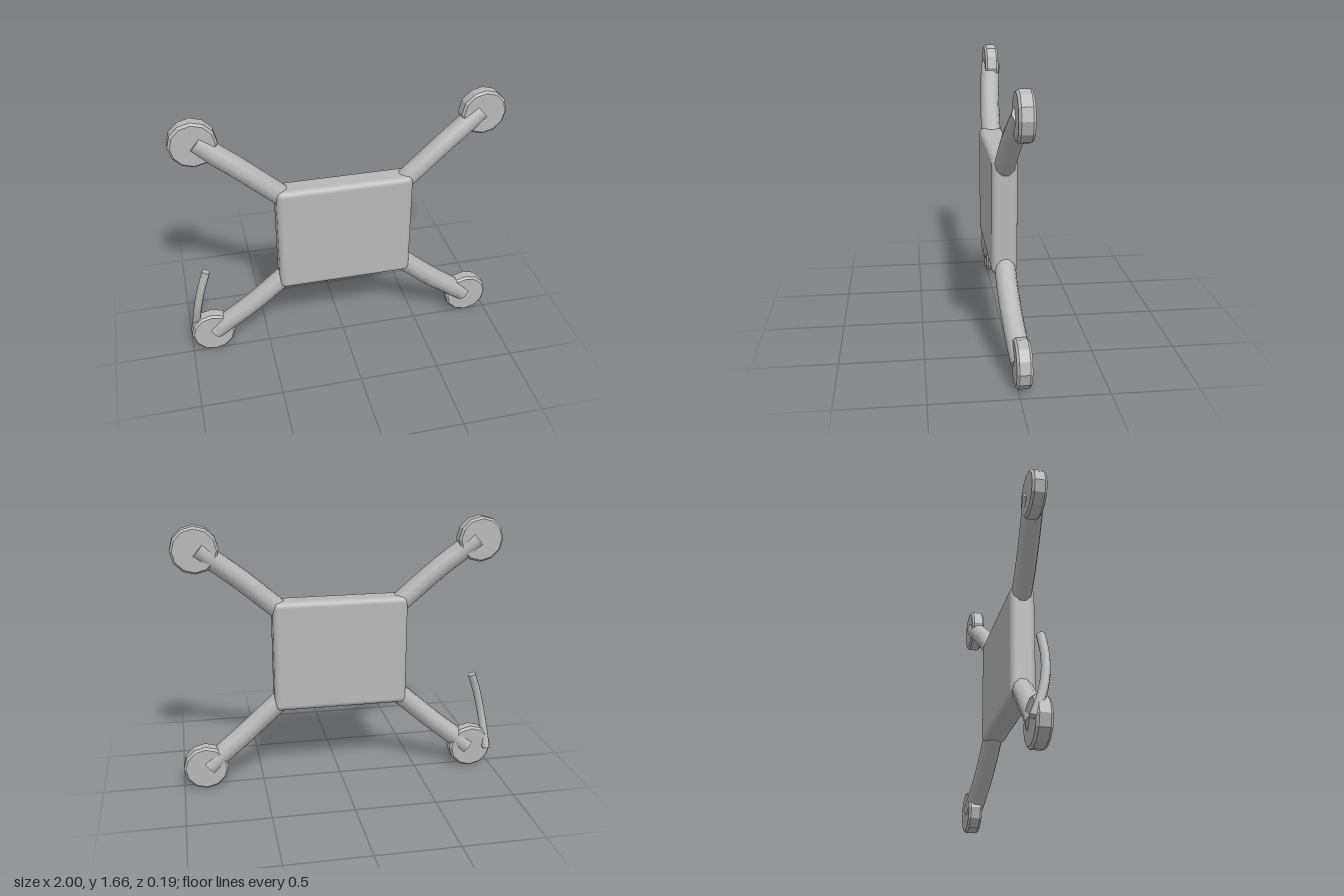
import * as THREE from 'three';
import { RoundedBoxGeometry } from 'three/addons/geometries/RoundedBoxGeometry.js';

const grey = new THREE.MeshStandardMaterial({ color: 0xb8b8b8, side: THREE.DoubleSide });
const flatGrey = grey.clone();
flatGrey.flatShading = true;

// Flat end cap, fanned over one ring of a tube
function capGeometry(tube, ring, sides) {
  const p = tube.attributes.position;
  const points = [];
  for (let i = 0; i < sides; i++) {
    points.push(new THREE.Vector3().fromBufferAttribute(p, ring * (sides + 1) + i));
  }
  const corners = [];
  for (let i = 1; i < sides - 1; i++) {
    const tri = [points[0], points[i], points[i + 1]];
    if (ring === 0) tri.reverse();
    corners.push(...tri);
  }
  const geometry = new THREE.BufferGeometry().setFromPoints(corners);
  geometry.computeVertexNormals();
  return geometry;
}

// Closed bent rod through a few points
function rod(name, points, radius, sides, steps) {
  const group = new THREE.Group();
  group.name = name;
  const curve = new THREE.CatmullRomCurve3(points.map((p) => new THREE.Vector3(...p)));
  const tube = new THREE.TubeGeometry(curve, steps, radius, sides);
  const shaft = new THREE.Mesh(tube, grey);
  shaft.name = name + 'Shaft';
  group.add(shaft);
  for (const ring of [0, steps]) {
    const cap = new THREE.Mesh(capGeometry(tube, ring, sides), grey);
    cap.name = name + 'End';
    group.add(cap);
  }
  return group;
}

export function createModel() {
  const model = new THREE.Group();
  model.name = 'frame';
  const midY = 0.835;

  // Flat rounded body
  const body = new THREE.Mesh(new RoundedBoxGeometry(0.835, 0.7, 0.152, 3, 0.035), grey);
  body.name = 'body';
  body.position.set(0, midY, 0.016);
  model.add(body);

  // Bevelled motor disc profile (radius, height)
  const profile = [[0, -0.044], [0.127, -0.044], [0.14, -0.03], [0.14, 0.03], [0.127, 0.044], [0, 0.044]]
    .map(([r, h]) => new THREE.Vector2(r, h));
  const discGeometry = new THREE.LatheGeometry(profile, 12);
  discGeometry.rotateX(Math.PI / 2);

  // Four bent arms, each with a disc at its tip
  for (const sx of [-1, 1]) {
    for (const sy of [-1, 1]) {
      const name = (sy > 0 ? 'upper' : 'lower') + (sx > 0 ? 'Left' : 'Right');
      const path = [[0.34, 0.265, 0.013], [0.48, 0.39, 0.01], [0.62, 0.512, 0], [0.74, 0.607, -0.013], [0.845, 0.695, -0.028]]
        .map(([x, y, z]) => [sx * x, midY + sy * y, z]);
      model.add(rod(name + 'Arm', path, 0.063, 10, 10));

      const disc = new THREE.Mesh(discGeometry, flatGrey);
      disc.name = name + 'Disc';
      disc.position.set(sx * 0.86, midY + sy * 0.69, -0.028);
      model.add(disc);
    }
  }

  // Bent aerial rising from the lower right disc
  model.add(rod('aerial', [[-0.965, 0.13, -0.078], [-0.957, 0.25, -0.035], [-0.94, 0.37, -0.008], [-0.91, 0.5, 0], [-0.866, 0.632, -0.008]], 0.026, 8, 12));

  return model;
}
